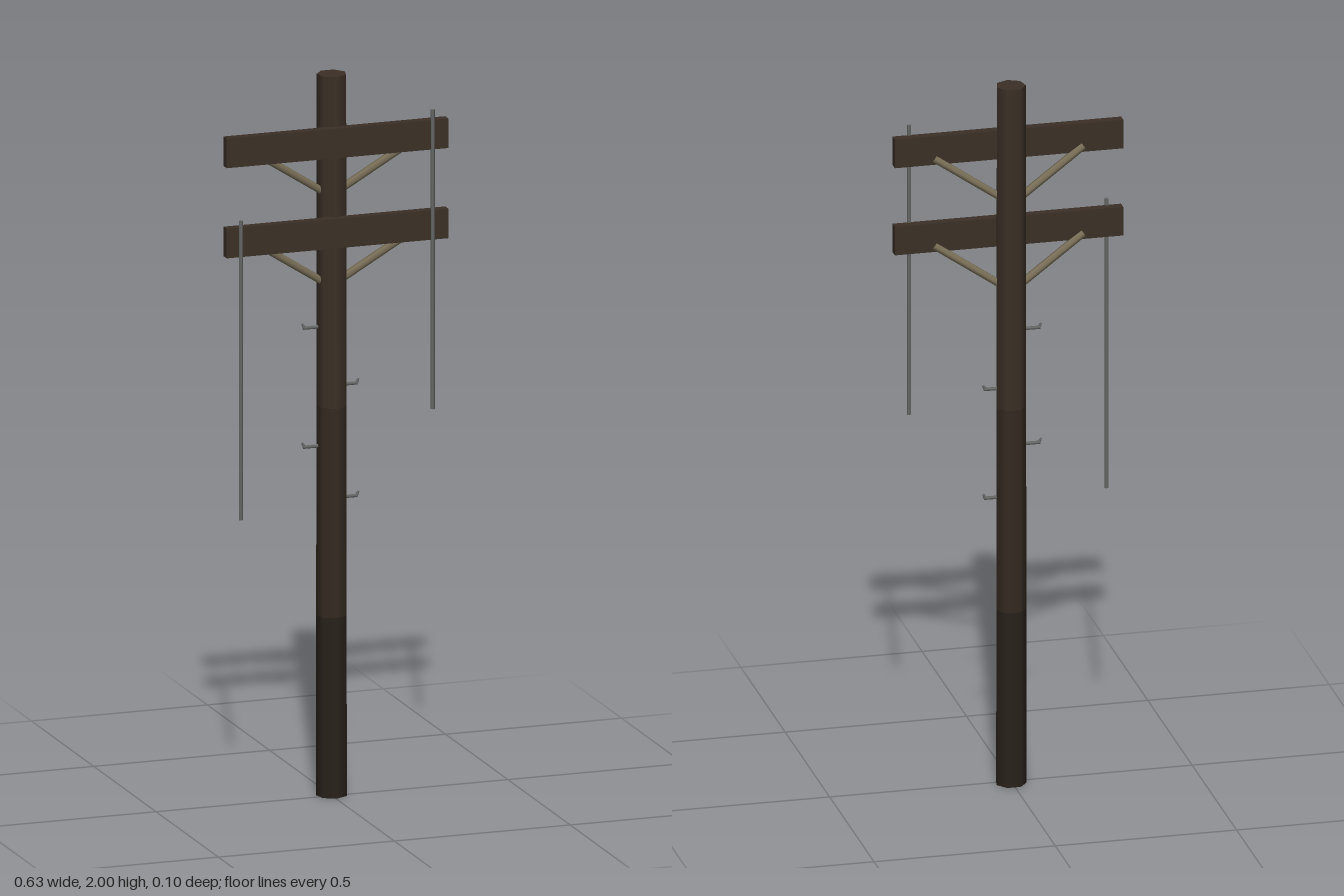
import * as THREE from 'three';

function mat(name, color) {
  const m = new THREE.MeshStandardMaterial({ color });
  m.name = name;
  return m;
}

export function createModel() {
  const group = new THREE.Group();
  const upperWood = mat('upper pole wood', 0x3b3026);
  const midWood = mat('middle pole wood', 0x342a21);
  const lowerWood = mat('lower pole wood', 0x29221b);
  const armWood = mat('crossarm wood', 0x3b3026);
  const braceWood = mat('pale brace', 0x7a7058);
  const metal = mat('grey metal', 0x686a68);

  function add(name, geometry, material, x = 0, y = 0, z = 0) {
    const mesh = new THREE.Mesh(geometry, material);
    mesh.name = name;
    mesh.position.set(x, y, z);
    group.add(mesh);
    return mesh;
  }

  // Round bar between two points
  function bar(name, from, to, r0, r1, sides, material) {
    const a = new THREE.Vector3(...from), b = new THREE.Vector3(...to);
    const dir = b.clone().sub(a);
    const mesh = add(name, new THREE.CylinderGeometry(r1, r0, dir.length(), sides), material);
    mesh.position.copy(a).add(b).multiplyScalar(0.5);
    mesh.quaternion.setFromUnitVectors(new THREE.Vector3(0, 1, 0), dir.normalize());
    return mesh;
  }

  // Seven-sided pole, darker toward the ground
  const px = 0.003, pz = -0.01;
  const sections = [
    ['poleLower', 0, 0.5, 0.043, 0.042, lowerWood],
    ['poleMiddle', 0.5, 1.08, 0.042, 0.0415, midWood],
    ['poleUpper', 1.08, 2, 0.0415, 0.041, upperWood],
  ];
  for (const [name, y0, y1, r0, r1, m] of sections) {
    const open = name === 'poleMiddle';
    add(name, new THREE.CylinderGeometry(r1, r0, y1 - y0, 7, 1, open), m, px, (y0 + y1) / 2, pz);
  }

  // Two crossarms, each with a pair of diagonal braces behind
  for (const y of [1.82, 1.57]) {
    add('crossarm', new THREE.BoxGeometry(0.63, 0.082, 0.025), armWood, 0, y, 0.0325);
    for (const s of [-1, 1]) {
      bar('brace', [s * 0.025, y - 0.143, -0.008], [s * 0.205, y - 0.025, 0.023], 0.011, 0.011, 6, braceWood);
    }
  }

  // Climbing steps with upturned tips, alternating sides
  for (const [s, y] of [[-1, 1.30], [1, 1.135], [-1, 0.97], [1, 0.823]]) {
    bar('climbingStep', [s * 0.033, y, -0.014], [s * 0.077, y, -0.014], 0.005, 0.005, 5, metal);
    bar('stepTip', [s * 0.074, y, -0.014], [s * 0.08, y + 0.012, -0.014], 0.005, 0.003, 5, metal);
  }

  // Hanging rods on the front of the arms
  for (const [x, y0, y1] of [[-0.275, 0.8, 1.63], [0.27, 1.06, 1.89]]) {
    bar('hangingRod', [x, y0, 0.045], [x, y1, 0.045], 0.006, 0.006, 5, metal);
  }

  return group;
}
